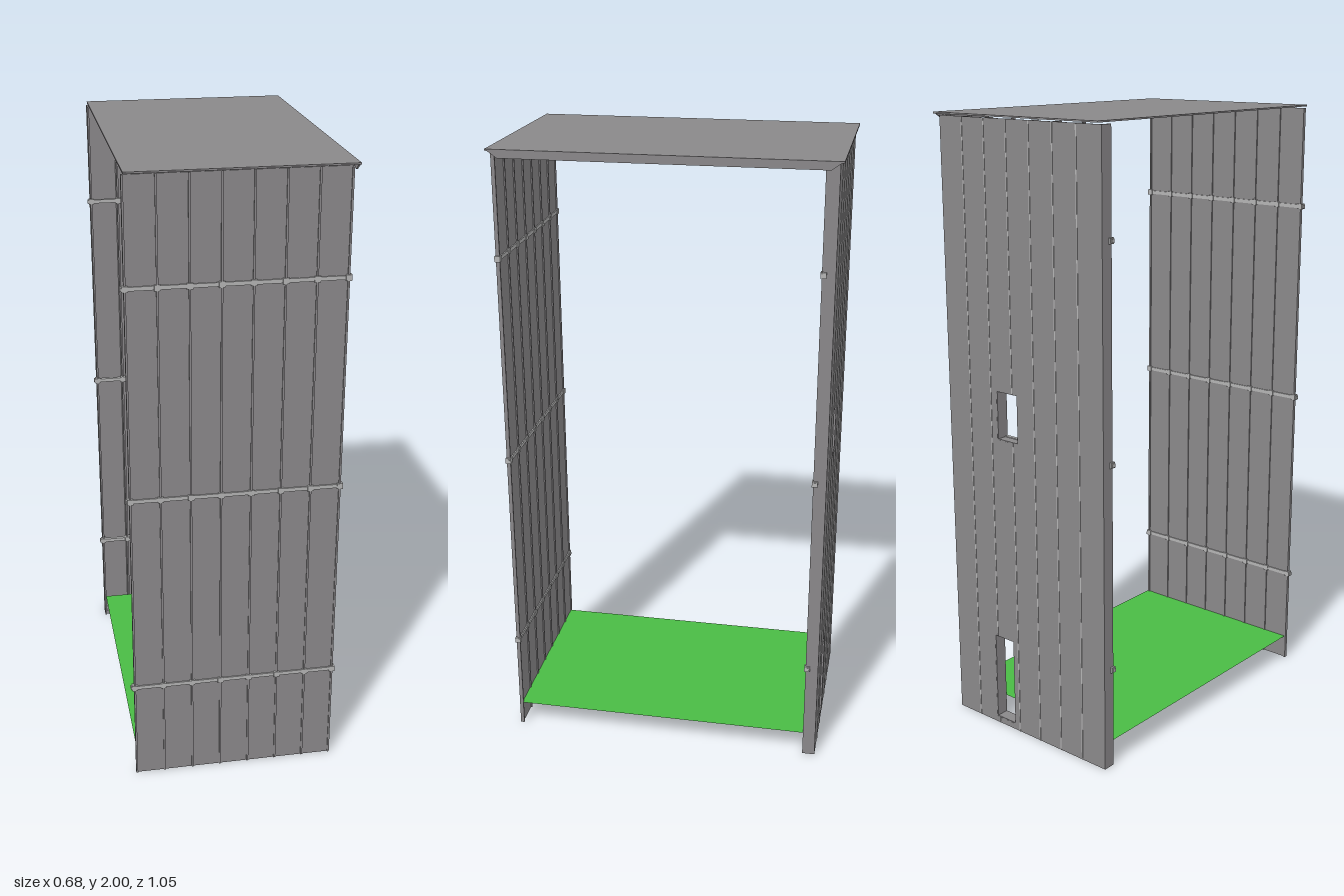
import * as THREE from 'three';

export function createModel() {
  const steel = new THREE.MeshStandardMaterial({ name: 'grey steel', color: 0x8a888a });
  const rail = new THREE.MeshStandardMaterial({ name: 'light steel', color: 0xb4b4b4 });
  const grass = new THREE.MeshStandardMaterial({ name: 'green floor', color: 0x4abb45, side: THREE.DoubleSide });
  const model = new THREE.Group();
  model.name = 'openShed';

  // Box given by its limits on each axis
  function box(parent, name, mat, [x0, x1], [y0, y1], [z0, z1]) {
    const mesh = new THREE.Mesh(new THREE.BoxGeometry(x1 - x0, y1 - y0, z1 - z0), mat);
    mesh.position.set((x0 + x1) / 2, (y0 + y1) / 2, (z0 + z1) / 2);
    mesh.name = name;
    parent.add(mesh);
  }

  function rectangle(Type, [x0, x1], [y0, y1]) {
    const s = new Type();
    s.moveTo(x0, y0).lineTo(x1, y0).lineTo(x1, y1).lineTo(x0, y1).closePath();
    return s;
  }

  const LEFT = -0.33, RIGHT = 0.323, TOP = 1.99, BAYS = 7;
  const studXs = Array.from({ length: BAYS + 1 }, (_, i) => LEFT + 0.003 + i * (RIGHT - LEFT - 0.006) / BAYS);
  const railYs = [1 / 3, 1, 5 / 3];

  // Wall: sheet with openings, vertical ribs, horizontal rails with square joints
  function wall(name, sheetZ, ribZ, railZ, openings) {
    const g = new THREE.Group();
    g.name = name;
    const shape = rectangle(THREE.Shape, [LEFT, RIGHT], [0, TOP]);
    openings.forEach(o => shape.holes.push(rectangle(THREE.Path, o.x, o.y)));
    const sheet = new THREE.Mesh(
      new THREE.ExtrudeGeometry(shape, { depth: 0.004, bevelEnabled: false }), steel);
    sheet.position.z = sheetZ;
    sheet.name = 'wallSheet';
    g.add(sheet);

    for (const x of studXs) {
      // Ribs stop at any opening they meet
      let y = 0;
      for (const o of openings) {
        if (x < o.x[0] || x > o.x[1]) continue;
        box(g, 'rib', steel, [x - 0.003, x + 0.003], [y, o.y[0]], ribZ);
        y = o.y[1];
      }
      box(g, 'rib', steel, [x - 0.003, x + 0.003], [y, TOP], ribZ);
      for (const ry of railYs) {
        box(g, 'railJoint', rail, [x - 0.009, x + 0.009], [ry - 0.009, ry + 0.009], [railZ - 0.009, railZ + 0.009]);
      }
    }
    for (const ry of railYs) {
      box(g, 'rail', rail, [-0.34, 0.33], [ry - 0.006, ry + 0.006], [railZ - 0.006, railZ + 0.006]);
    }

    // Deep reveal around each opening
    for (const { x, y } of openings) {
      const t = 0.006;
      for (const e of x) box(g, 'openingJamb', steel, [e - t / 2, e + t / 2], y, ribZ);
      for (const e of y) box(g, 'openingSill', steel, [x[0] - t / 2, x[1] + t / 2], [e - t / 2, e + t / 2], ribZ);
    }
    model.add(g);
    return g;
  }

  wall('frontWall', 0.506, [0.502, 0.514], 0.508, []);

  const door = { x: [0.062, 0.148], y: [0.02, 0.32] };
  const hatch = { x: [0.02, 0.11], y: [1.0, 1.16] };
  const back = wall('backWall', -0.515, [-0.5145, -0.474], -0.479, [door, hatch]);
  box(back, 'bottomTrack', steel, [LEFT, RIGHT], [0, 0.015], [-0.514, -0.48]);

  // Pale seams on the outside of the back wall, clear of the openings
  for (const x of studXs.slice(1, -1)) {
    let y = 0;
    for (const o of [door, hatch]) {
      if (x < o.x[0] || x > o.x[1]) continue;
      if (o.y[0] > y) box(back, 'seam', rail, [x - 0.002, x + 0.002], [y, o.y[0]], [-0.5165, -0.514]);
      y = o.y[1];
    }
    box(back, 'seam', rail, [x - 0.002, x + 0.002], [y, TOP], [-0.5165, -0.514]);
  }

  // Roof sheet with a mitred flange along one side
  const roof = new THREE.Group();
  roof.name = 'roof';
  box(roof, 'roofSheet', steel, [-0.326, 0.338], [1.995, 2], [-0.527, 0.527]);
  const profile = new THREE.Shape();
  profile.moveTo(-0.49, 1.974).lineTo(0.49, 1.974).lineTo(0.525, 1.999).lineTo(-0.525, 1.999).closePath();
  const flange = new THREE.Mesh(
    new THREE.ExtrudeGeometry(profile, { depth: 0.005, bevelEnabled: false }), steel);
  flange.rotation.y = Math.PI / 2;
  flange.position.x = 0.333;
  flange.name = 'roofFlange';
  roof.add(flange);
  model.add(roof);

  // Floor
  const floor = new THREE.Mesh(new THREE.PlaneGeometry(0.65, 0.98), grass);
  floor.rotation.x = -Math.PI / 2;
  floor.position.set(0, 0.083, 0.015);
  floor.name = 'floor';
  model.add(floor);

  return model;
}
